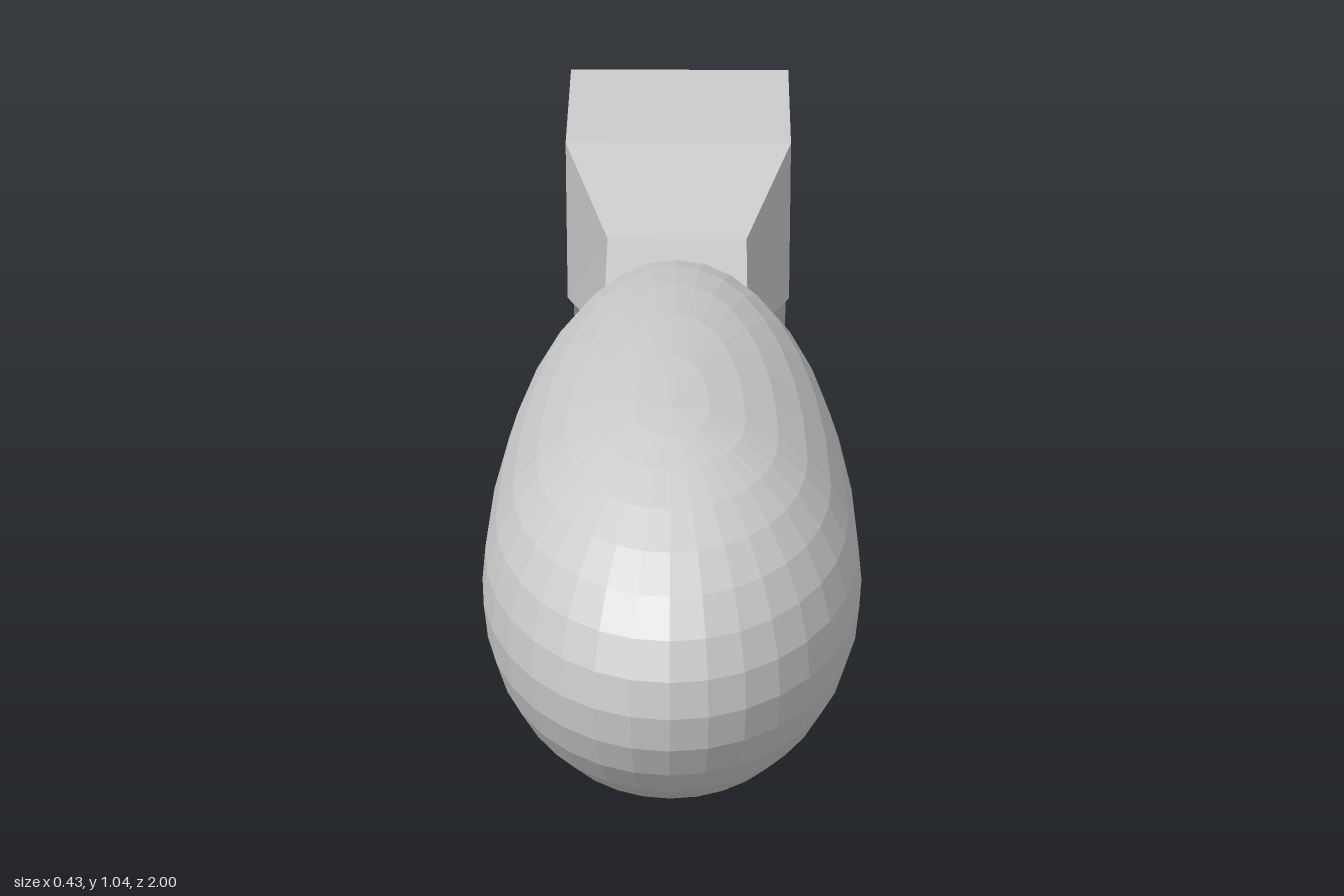
import * as THREE from 'three';

const material = new THREE.MeshStandardMaterial({ color: 0xcccccc, flatShading: true });

// Curved arm: rectangular sections as [outer z, outer y, inner z, inner y, half width]
function createArm() {
  const sections = [
    [-1.0, 0, -0.71, 0, 0.147],
    [-1.0, 0.3, -0.71, 0.3, 0.147],
    [-0.98, 0.6, -0.726, 0.453, 0.147],
    [-0.845, 0.805, -0.656, 0.556, 0.147],
    [-0.62, 0.945, -0.586, 0.66, 0.147],
    [-0.355, 0.945, -0.37, 0.718, 0.147],
    [-0.13, 0.905, -0.13, 0.764, 0.088],
    [0.02, 0.905, 0.02, 0.764, 0.088],
  ];
  const positions = [];
  const index = [];
  for (const [oz, oy, iz, iy, w] of sections) {
    positions.push(-w, oy, oz, w, oy, oz, w, iy, iz, -w, iy, iz);
  }
  for (let i = 0; i < sections.length - 1; i++) {
    for (let j = 0; j < 4; j++) {
      const a = i * 4 + j;
      const b = i * 4 + ((j + 1) % 4);
      index.push(a, a + 4, b + 4, a, b + 4, b);
    }
  }
  // End caps
  const e = (sections.length - 1) * 4;
  index.push(0, 1, 2, 0, 2, 3, e, e + 2, e + 1, e, e + 3, e + 2);

  const indexed = new THREE.BufferGeometry();
  indexed.setAttribute('position', new THREE.Float32BufferAttribute(positions, 3));
  indexed.setIndex(index);
  const geometry = indexed.toNonIndexed();
  geometry.computeVertexNormals();
  const arm = new THREE.Mesh(geometry, material);
  arm.name = 'arm';
  return arm;
}

// Egg-shaped grip: a sphere stretched short to the front and long to the back
function createGrip() {
  const geometry = new THREE.SphereGeometry(1, 32, 16);
  const p = geometry.attributes.position;
  for (let i = 0; i < p.count; i++) {
    const z = p.getZ(i);
    p.setXYZ(i, p.getX(i) * 0.213, p.getY(i) * 0.213, z * (z > 0 ? 0.33 : 0.76));
  }
  geometry.computeVertexNormals();
  const grip = new THREE.Mesh(geometry, material);
  grip.position.set(0, 0.83, 0.67);
  grip.name = 'grip';
  return grip;
}

export function createModel() {
  const model = new THREE.Group();
  model.name = 'handle';
  model.add(createArm(), createGrip());
  return model;
}
